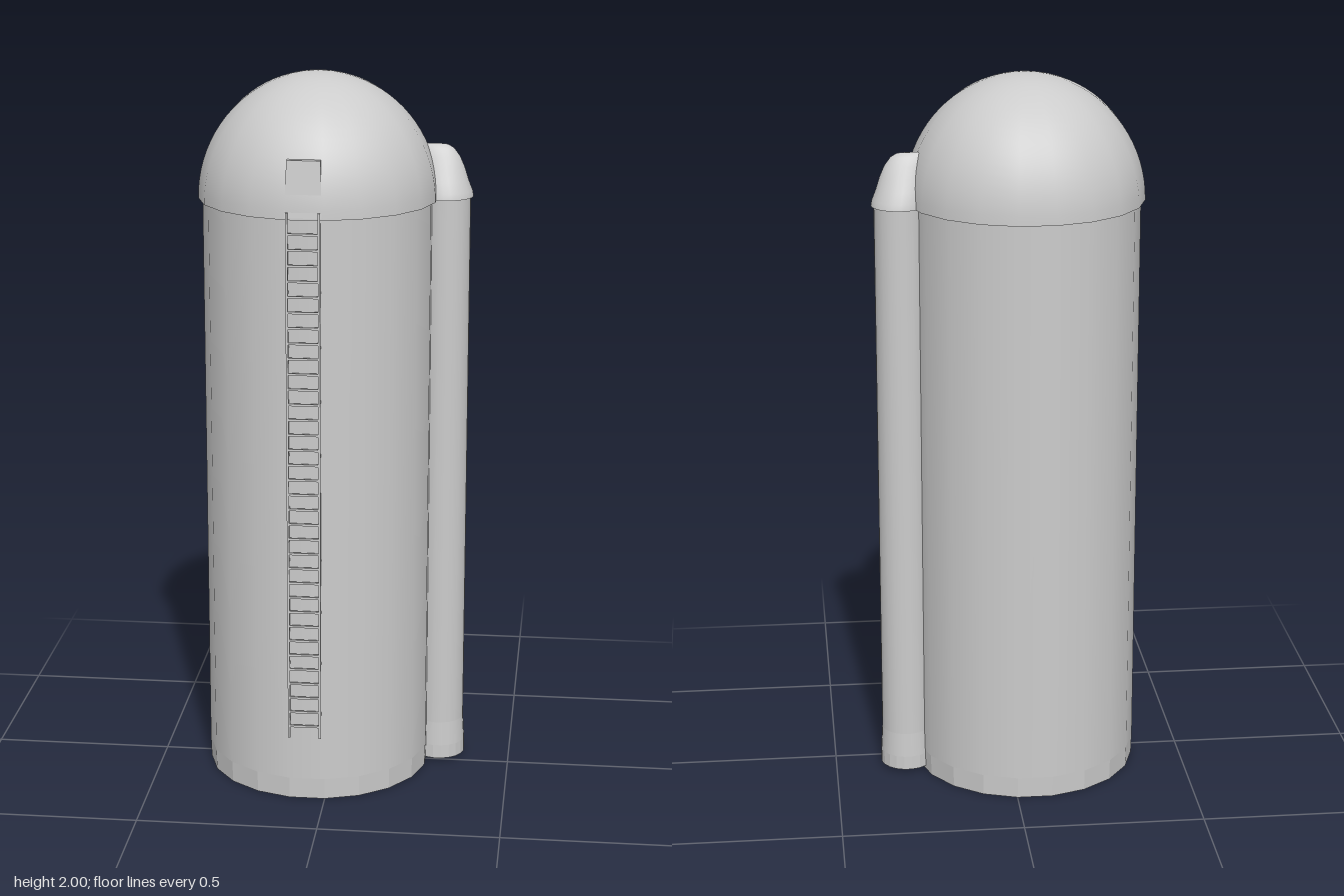
import * as THREE from 'three';

const SIDES = 20;
const TURN = Math.PI / SIDES; // flat facets face the axes
const CX = -0.05, CZ = -0.006; // tower axis
const PX = 0.296, PZ = -0.056; // side pipe axis

export function createModel() {
  const group = new THREE.Group();
  const grey = new THREE.MeshStandardMaterial({ color: 0xcccccc });
  const faceted = new THREE.MeshStandardMaterial({ color: 0xcccccc, flatShading: true });
  const twoSided = new THREE.MeshStandardMaterial({ color: 0xcccccc, side: THREE.DoubleSide });

  const add = (parent, name, geometry, material, x = 0, y = 0, z = 0) => {
    const mesh = new THREE.Mesh(geometry, material);
    mesh.name = name;
    mesh.position.set(x, y, z);
    parent.add(mesh);
    return mesh;
  };
  const tube = (rTop, rBottom, h, sides) =>
    new THREE.CylinderGeometry(rTop, rBottom, h, sides, 1, false, TURN);

  // Tower wall with a faceted foot band
  add(group, 'towerWall', tube(0.317, 0.317, 1.6, SIDES), grey, CX, 0.86, CZ);
  add(group, 'towerFoot', tube(0.317, 0.315, 0.06, SIDES), faceted, CX, 0.03, CZ);

  // Domed roof, overhanging the wall a little
  const domeProfile = [];
  for (let i = 0; i <= 20; i++) {
    const a = (i / 20) * Math.PI / 2;
    domeProfile.push(new THREE.Vector2(Math.max(0.329 * Math.cos(a), 0), 0.345 * Math.sin(a)));
  }
  add(group, 'domeRoof', new THREE.LatheGeometry(domeProfile, SIDES, TURN), grey, CX, 1.655, CZ);
  const under = add(group, 'domeUnderside', new THREE.CircleGeometry(0.329, SIDES, TURN), grey, CX, 1.655, CZ);
  under.rotation.x = Math.PI / 2;

  // Side pipe with a flared foot
  const pipe = new THREE.Group();
  pipe.name = 'sidePipe';
  pipe.position.set(PX, 0, PZ);
  group.add(pipe);
  add(pipe, 'pipeShaft', tube(0.07, 0.07, 1.54, SIDES), grey, 0, 0.89, 0);
  add(pipe, 'pipeFlare', tube(0.07, 0.074, 0.07, SIDES), grey, 0, 0.085, 0);
  add(pipe, 'pipeFoot', tube(0.074, 0.074, 0.04, SIDES), faceted, 0, 0.03, 0);
  add(pipe, 'pipeCap', hoodGeometry(), twoSided);
  const capUnder = add(pipe, 'pipeCapUnderside', new THREE.CircleGeometry(0.077, 24), grey, 0, 1.655, 0);
  capUnder.rotation.x = Math.PI / 2;

  // Sloped hatch let into the dome above the ladder
  const side = new THREE.Shape([[0.2, 1.66], [0.32, 1.66], [0.302, 1.81], [0.2, 1.81]]
    .map(([z, y]) => new THREE.Vector2(-z, y)));
  const hatch = new THREE.ExtrudeGeometry(side, { depth: 0.1, bevelEnabled: false });
  hatch.translate(0, 0, -0.05);
  hatch.rotateY(Math.PI / 2);
  const p = hatch.attributes.position;
  for (let i = 0; i < p.count; i++) if (p.getY(i) > 1.75) p.setX(i, p.getX(i) * 0.9);
  hatch.computeVertexNormals();
  add(group, 'hatch', hatch, twoSided, -0.054);

  // Ladder: two rails, rungs and wall brackets
  const ladder = new THREE.Group();
  ladder.name = 'ladder';
  ladder.position.set(-0.054, 0, 0.322);
  group.add(ladder);
  for (const s of [-1, 1]) {
    add(ladder, 'ladderRail', new THREE.BoxGeometry(0.006, 1.485, 0.008), grey, s * 0.043, 0.9325, 0);
    for (let i = 0; i < 9; i++)
      add(ladder, 'ladderBracket', new THREE.BoxGeometry(0.006, 0.006, 0.018), grey, s * 0.043, 0.26 + i * 0.15, -0.008);
  }
  const RUNGS = 34;
  for (let i = 0; i < RUNGS; i++)
    add(ladder, 'ladderRung', new THREE.BoxGeometry(0.088, 0.006, 0.006), grey, 0, 0.225 + i * 0.0422, 0.001);

  return group;
}

// Hood over the pipe: rings that narrow to a ridge leaning into the dome
function hoodGeometry() {
  const N = 24;
  // height, reach away from the tower, half width
  const rings = [
    [1.655, 0.077, 0.077], [1.672, 0.074, 0.073], [1.7, 0.063, 0.06], [1.735, 0.052, 0.043],
    [1.765, 0.039, 0.029], [1.788, 0.022, 0.017], [1.798, 0.005, 0.009], [1.8, -0.015, 0.002],
  ];
  const positions = [], index = [];
  rings.forEach(([y, reach, half], r) => {
    for (let i = 0; i < N; i++) {
      const a = (i / N) * Math.PI * 2;
      const c = Math.cos(a);
      const mid = (reach - 0.077) / 2, rx = (reach + 0.077) / 2;
      positions.push(mid + rx * c, y, half * Math.sin(a));
      if (r > 0) {
        const j = (i + 1) % N, lo = (r - 1) * N, hi = r * N;
        index.push(lo + i, hi + i, lo + j, lo + j, hi + i, hi + j);
      }
    }
  });
  const geometry = new THREE.BufferGeometry();
  geometry.setAttribute('position', new THREE.Float32BufferAttribute(positions, 3));
  geometry.setIndex(index);
  geometry.computeVertexNormals();
  return geometry;
}
